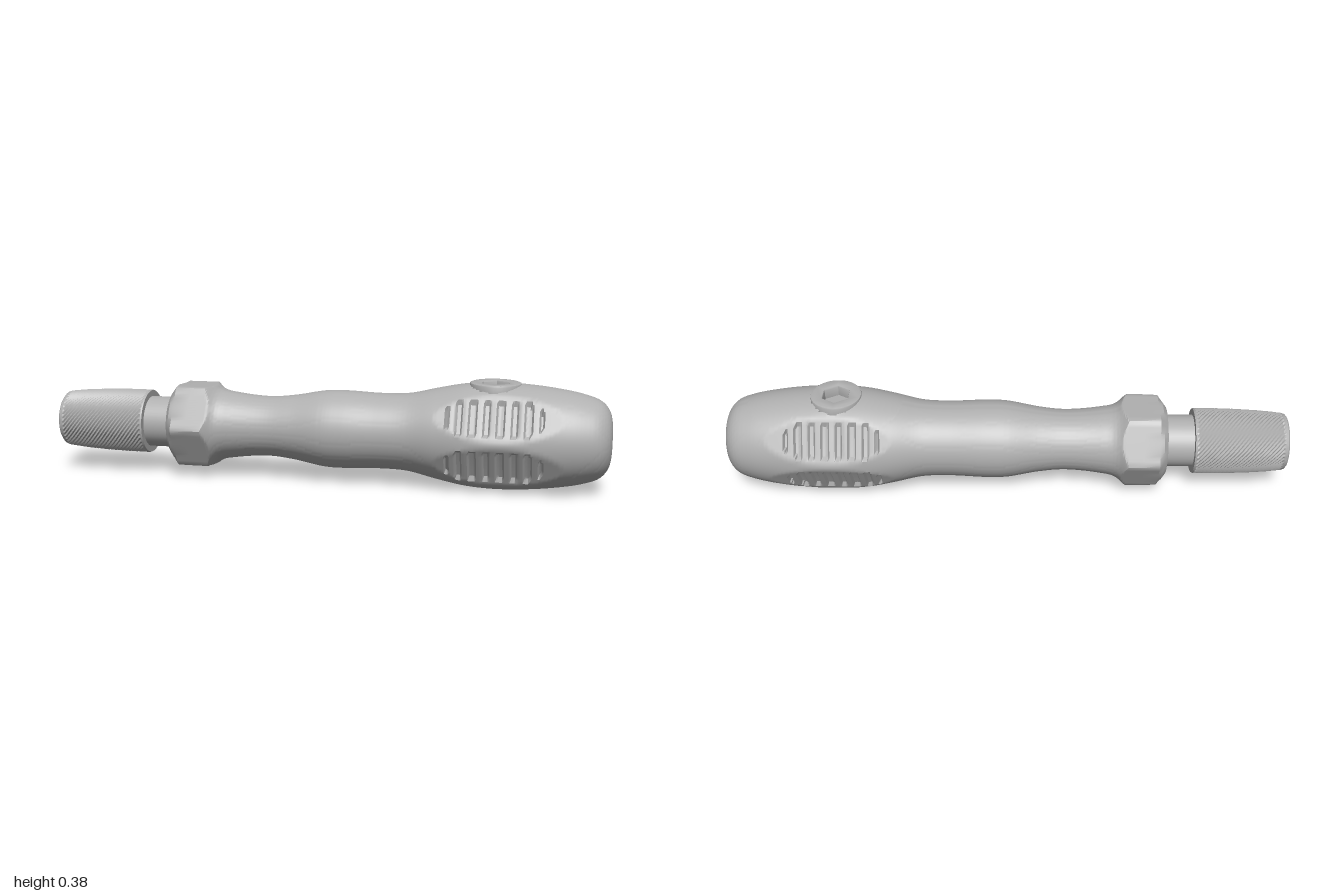
import * as THREE from 'three';
import { toCreasedNormals } from 'three/addons/utils/BufferGeometryUtils.js';

const CY = 0.187; // height of the long axis
const BOLT_X = 0.6;

// Skin around the x axis from [x, r] stations; radius(x, r, angle, i, j) shapes each ring
function skin(stations, sides, radius, adjust) {
  const pos = [], idx = [];
  stations.forEach(([x, r], i) => {
    for (let j = 0; j < sides; j++) {
      const a = (j / sides) * Math.PI * 2;
      const q = radius(x, r, a, i, j);
      const p = [x, CY + q * Math.sin(a), q * Math.cos(a)];
      if (adjust) adjust(p);
      pos.push(...p);
    }
  });
  for (let i = 0; i < stations.length - 1; i++) {
    for (let j = 0; j < sides; j++) {
      const k = (j + 1) % sides;
      const a = i * sides + j, b = a + sides, c = (i + 1) * sides + k, d = i * sides + k;
      idx.push(a, b, c, a, c, d);
    }
  }
  const g = new THREE.BufferGeometry();
  g.setAttribute('position', new THREE.Float32BufferAttribute(pos, 3));
  g.setIndex(idx);
  g.computeVertexNormals();
  return g;
}

// Disc with a hexagonal hole
function hexDisc(radius, hex, options) {
  const shape = new THREE.Shape().absarc(0, 0, radius, 0, Math.PI * 2, false);
  const hole = [];
  for (let i = 0; i < 6; i++) {
    const a = Math.PI / 2 - (i * Math.PI) / 3;
    hole.push(new THREE.Vector2(hex * Math.cos(a), hex * Math.sin(a)));
  }
  shape.holes.push(new THREE.Path(hole));
  return new THREE.ExtrudeGeometry(shape, { curveSegments: 24, bevelEnabled: false, ...options });
}

// Angle to the nearest of the given directions
function nearest(a, directions) {
  return Math.min(...directions.map(d => Math.abs(Math.atan2(Math.sin(a - d), Math.cos(a - d)))));
}

export function createModel() {
  const group = new THREE.Group();
  const grey = new THREE.MeshStandardMaterial({ color: 0xb0b0b0 });
  grey.name = 'grey metal';
  const add = (name, geometry) => {
    const m = new THREE.Mesh(geometry, grey);
    m.name = name;
    group.add(m);
    return m;
  };

  // Handle: hexagonal flange, waist, finger swell, bulb and rounded butt
  const v = (x, r) => new THREE.Vector3(x, r, 0);
  const curve = new THREE.CatmullRomCurve3([
    v(-0.43, 0.165), v(-0.39, 0.132), v(-0.33, 0.119), v(-0.21, 0.109), v(-0.12, 0.117), v(0, 0.138),
    v(0.07, 0.14), v(0.2, 0.135), v(0.3, 0.139), v(0.4, 0.161), v(0.5, 0.18), v(0.6, 0.187),
    v(0.7, 0.184), v(0.8, 0.174), v(0.9, 0.156), v(0.96, 0.134), v(0.987, 0.105), v(0.998, 0.07), v(1, 0),
  ]);
  const stations = [[-0.57, 0], [-0.57, 0.122], [-0.555, 0.142], [-0.54, 0.163], [-0.485, 0.165]]
    .concat(curve.getSpacedPoints(250).map(p => [p.x, Math.max(p.y, 0)]));
  const hexSides = [0, 1, 2, 3, 4, 5].map(k => Math.PI / 6 + (k * Math.PI) / 3);
  const gripSides = [hexSides[0], hexSides[2], hexSides[3], hexSides[5]];

  const handleRadius = (x, r, a) => {
    if (x < -0.38) return Math.min(r, 0.145 / Math.cos(nearest(a, hexSides)));
    if (x < 0.4 || x > 0.84) return r;
    // flattened grip panels with rows of rounded slots
    const d = nearest(a, gripSides);
    const bump = Math.sin(((x - 0.4) / 0.44) * Math.PI);
    let q = Math.min(r, (r - 0.021 * bump) / Math.cos(d));
    const u = (x - 0.605) / 0.165, w = d / 0.36;
    if (u ** 4 + w ** 4 < 1) {
      const wave = Math.cos(((x - 0.605) / 0.047 + 0.5) * Math.PI * 2);
      q -= 0.013 * THREE.MathUtils.smoothstep(wave, -0.3, 0.5);
    }
    return q;
  };
  // seat cut into the bulb under the screw
  const screwSeat = p => {
    if (p[1] > 0.335 && Math.hypot(p[0] - BOLT_X, p[2]) < 0.084) p[1] = 0.335;
  };
  add('handle', toCreasedNormals(skin(stations, 96, handleRadius, screwSeat), 0.55));

  // Cap screw with hexagonal socket
  const screw = add('capScrew', toCreasedNormals(hexDisc(0.084, 0.058, {
    depth: 0.06, bevelEnabled: true, bevelThickness: 0.006, bevelSize: 0.006, bevelSegments: 2,
  }), 0.6));
  screw.rotation.x = -Math.PI / 2;
  screw.position.set(BOLT_X, 0.309, 0);

  // Shaft between handle and collar
  const shaft = add('shaft', new THREE.CylinderGeometry(0.093, 0.093, 0.43, 40));
  shaft.rotation.z = -Math.PI / 2;
  shaft.position.set(-0.715, CY, 0);

  // Knurled collar: alternate vertices raised in a diamond pattern
  const profile = new THREE.CatmullRomCurve3([
    v(-0.985, 0.103), v(-0.93, 0.109), v(-0.85, 0.114), v(-0.76, 0.117), v(-0.672, 0.117),
  ]);
  const rows = profile.getSpacedPoints(44).map(p => [p.x, p.y]);
  const knurl = skin(rows, 80, (x, r, a, i, j) =>
    r - (i > 0 && i < 44 && (i + j) % 2 ? 0.004 : 0));
  add('knurledCollar', toCreasedNormals(knurl, 0.1));

  // Smooth collar ends: front lip with its recess, and the rear ring
  const lathe = (name, points) => {
    const g = new THREE.LatheGeometry(points.map(p => new THREE.Vector2(...p)), 80);
    const m = add(name, toCreasedNormals(g, 0.4));
    m.rotation.z = -Math.PI / 2;
    m.position.y = CY;
  };
  lathe('collarLip', [[0.078, -0.975], [0.082, -1], [0.094, -1], [0.1, -0.995], [0.103, -0.985]]);
  lathe('collarRearRing', [[0.117, -0.672], [0.115, -0.667], [0.09, -0.667]]);

  // Bit holder with hexagonal socket, recessed in the collar
  const socket = add('hexSocket', hexDisc(0.082, 0.052, { depth: 0.055 }));
  socket.rotation.y = Math.PI / 2;
  socket.position.set(-0.985, CY, 0);

  return group;
}
